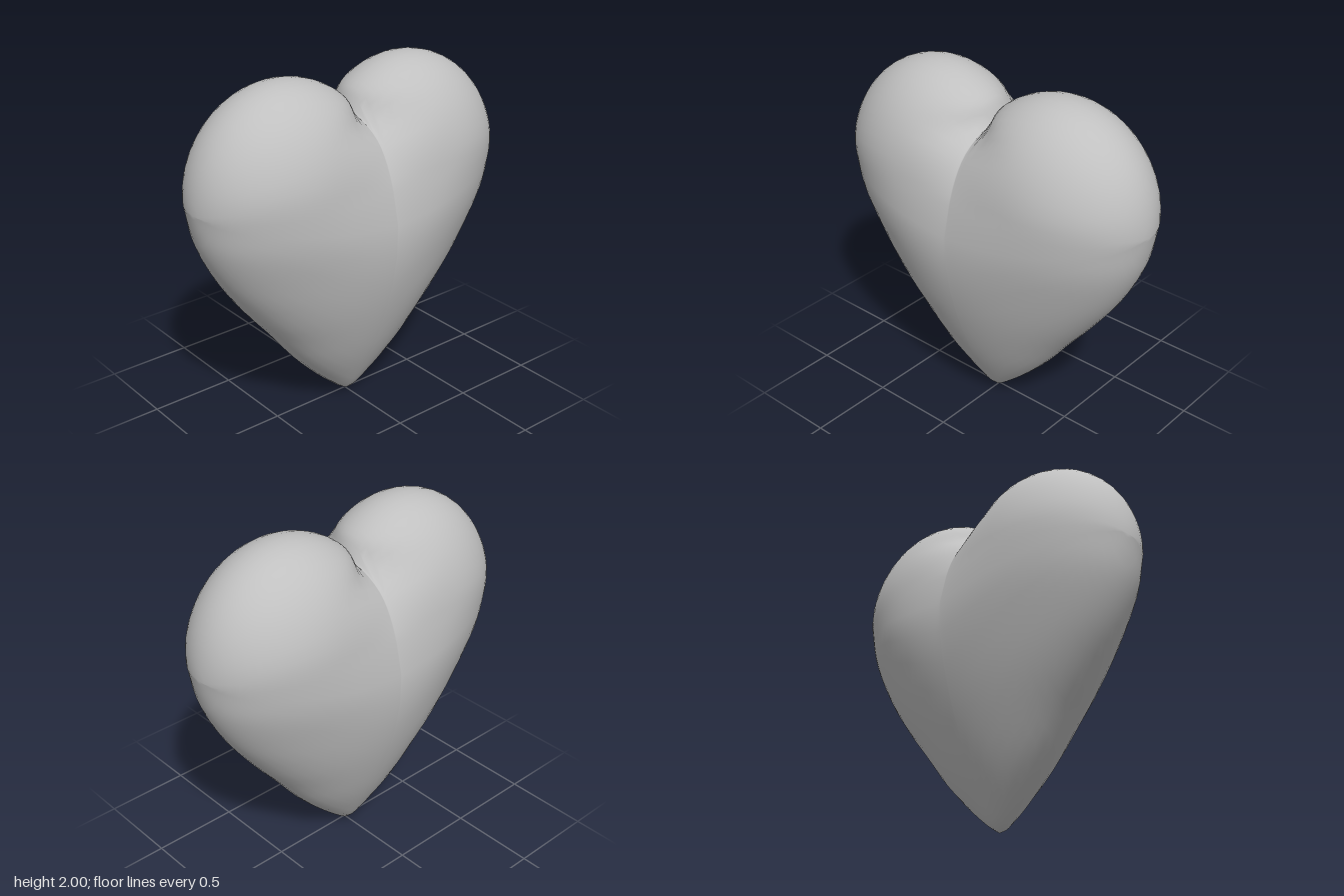
import * as THREE from 'three';
import { mergeVertices } from 'three/addons/utils/BufferGeometryUtils.js';

// Lobe ellipsoid: centre and radii
const CX = 0.42, CY = 1.4, RX = 0.57, RY = 0.6, RZ = 0.43;

// Lower body profile: height, half width, half depth
const Y = [0, 0.03, 0.18, 0.35, 0.53, 0.70, 0.94, 1.18, 1.4];
const W = [0, 0.05, 0.22, 0.38, 0.52, 0.66, 0.83, 0.945, 0.99];
const D = [0, 0.05, 0.145, 0.235, 0.31, 0.37, 0.43, 0.455, 0.432];

// Squared depth along the middle plane (negative above the notch)
const QY = [1.18, 1.35, 1.5, 1.63, 1.72, 1.75, 1.86, 2.0];
const Q = [0.207, 0.176, 0.137, 0.085, 0.025, 0, -0.024, -0.1];

// Smooth interpolation through a few points
function sample(xs, vs, x) {
  const n = xs.length;
  if (x <= xs[0]) return vs[0];
  if (x >= xs[n - 1]) return vs[n - 1];
  let i = 0;
  while (x > xs[i + 1]) i++;
  const slope = (k) => {
    const a = Math.max(0, k - 1), b = Math.min(n - 1, k + 1);
    return (vs[b] - vs[a]) / (xs[b] - xs[a]);
  };
  const h = xs[i + 1] - xs[i], t = (x - xs[i]) / h, t2 = t * t, t3 = t2 * t;
  return (2 * t3 - 3 * t2 + 1) * vs[i] + (t3 - 2 * t2 + t) * h * slope(i)
    + (3 * t2 - 2 * t3) * vs[i + 1] + (t3 - t2) * h * slope(i + 1);
}

// Squared half depth of the body at (x, y); negative outside
function depthSquared(x, y) {
  if (y <= 0 || y >= CY + RY) return -1;
  const round = Math.sqrt(Math.max(0, 1 - ((y - CY) / RY) ** 2));
  const w = y > CY ? CX + RX * round : sample(Y, W, y);
  const d = y > CY ? RZ * round : sample(Y, D, y);
  const c = CX * THREE.MathUtils.smoothstep(y, 0.9, 1.55);
  if (x >= c) return d * d * (1 - ((x - c) / Math.max(w - c, 1e-5)) ** 2);
  const mid = y < QY[0] ? d * d : Math.min(d * d, sample(QY, Q, y));
  return d * d - (d * d - mid) * ((c - x) / c) ** 2;
}

// Height at which a slice closes, searched from the lobe centre towards end
function edge(x, end) {
  let inside = CY, outside = end;
  for (let i = 0; i < 40; i++) {
    const m = (inside + outside) / 2;
    if (depthSquared(x, m) > 0) inside = m; else outside = m;
  }
  return inside;
}

function heartGeometry() {
  const half = 26, around = 48, pos = [], index = [];
  // Upright slices from side to side, dense at the crease and the flanks
  for (let i = -half; i <= half; i++) {
    const x = (CX + RX) * (1 - Math.cos(Math.PI * Math.abs(i) / half)) / 2;
    const top = edge(x, CY + RY), bottom = edge(x, 0);
    for (let j = 0; j < around; j++) {
      const a = 2 * Math.PI * j / around, c = Math.cos(a);
      const y = CY + c * (c > 0 ? top - CY : CY - bottom);
      const ends = j === 0 || j === around / 2 || Math.abs(i) === half;
      const z = ends ? 0 : Math.sqrt(Math.max(0, depthSquared(x, y)));
      pos.push(Math.sign(i) * x, y, j < around / 2 ? z : -z);
    }
  }
  for (let i = 0; i < 2 * half; i++) {
    for (let j = 0; j < around; j++) {
      const a = i * around + j, b = i * around + (j + 1) % around;
      index.push(a, b, a + around, b, b + around, a + around);
    }
  }
  let geometry = new THREE.BufferGeometry();
  geometry.setAttribute('position', new THREE.Float32BufferAttribute(pos, 3));
  geometry.setIndex(index);
  geometry = mergeVertices(geometry, 1e-4);
  geometry.computeVertexNormals();
  return geometry;
}

export function createModel() {
  const grey = new THREE.MeshStandardMaterial({ color: 0xc0c0c0 });
  grey.name = 'light grey';
  const heart = new THREE.Mesh(heartGeometry(), grey);
  heart.name = 'heart';
  const group = new THREE.Group();
  group.name = 'heartModel';
  group.add(heart);
  return group;
}
